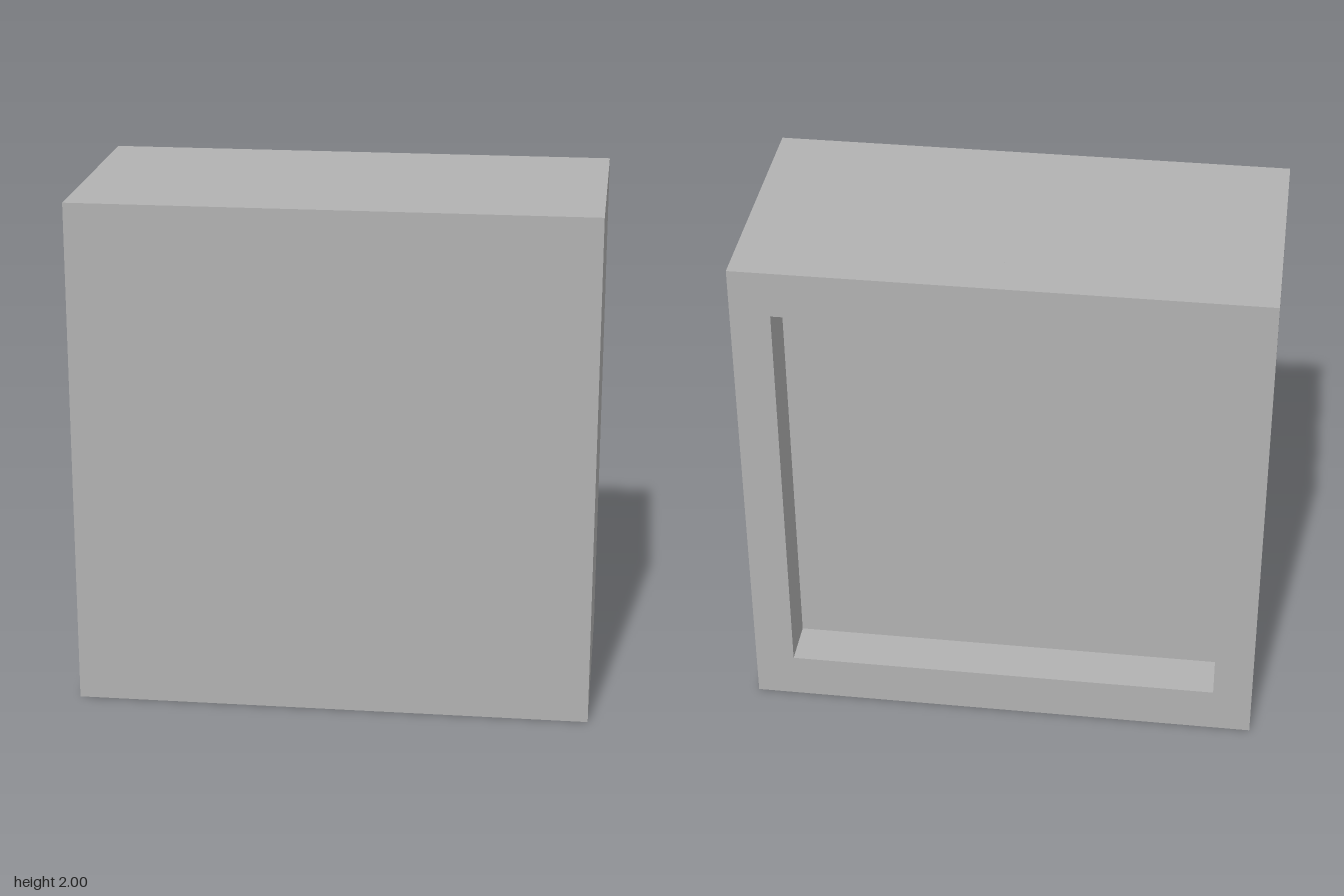
import * as THREE from 'three';

const HALF_DEPTH = 0.507;
const RECESS = 0.187;

// Axis-aligned rectangle outline
function rect(path, halfW, halfH) {
  path.moveTo(-halfW, -halfH);
  path.lineTo(halfW, -halfH);
  path.lineTo(halfW, halfH);
  path.lineTo(-halfW, halfH);
  path.closePath();
  return path;
}

export function createModel() {
  const group = new THREE.Group();
  group.name = 'recessedBlock';
  const grey = new THREE.MeshStandardMaterial({ color: 0xb2b2b2 });
  grey.name = 'grey';

  // Solid block; its back face is the floor of the recess
  const depth = 2 * HALF_DEPTH - RECESS;
  const body = new THREE.Mesh(new THREE.BoxGeometry(2, 2, depth), grey);
  body.name = 'body';
  body.position.set(0, 1, HALF_DEPTH - depth / 2);
  group.add(body);

  // Rim around the recess at the back
  const outline = rect(new THREE.Shape(), 1, 1);
  outline.holes.push(rect(new THREE.Path(), 0.847, 0.817));
  const rim = new THREE.Mesh(
    new THREE.ExtrudeGeometry(outline, { depth: RECESS, bevelEnabled: false }),
    grey
  );
  rim.name = 'backRim';
  rim.position.set(0, 1, -HALF_DEPTH);
  group.add(rim);

  return group;
}
